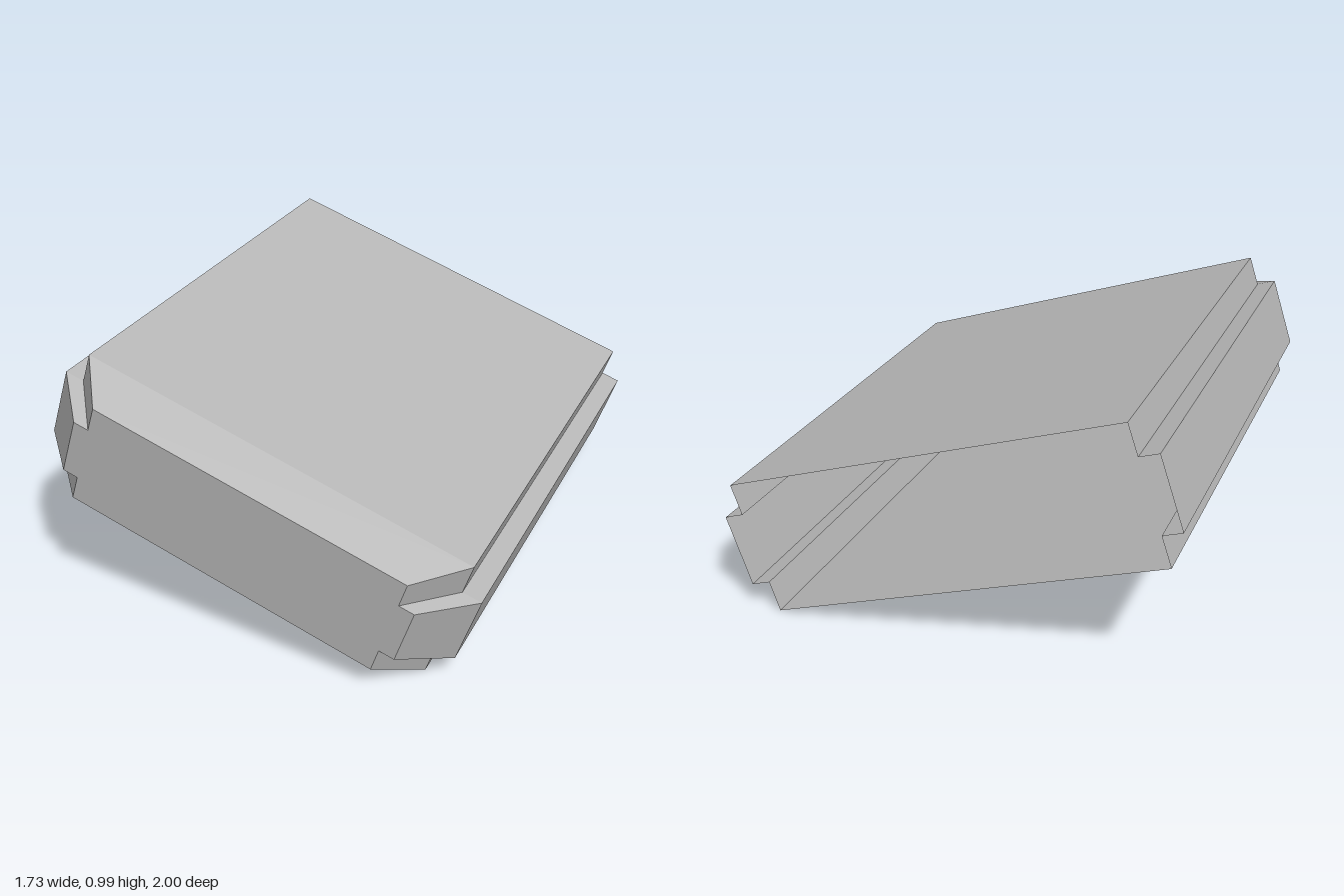
import * as THREE from 'three';

export function createModel() {
  const model = new THREE.Group();
  model.name = 'ridgedCasing';
  const grey = new THREE.MeshStandardMaterial({ color: 0xb8b8b8, side: THREE.DoubleSide, flatShading: true });
  grey.name = 'plain grey';

  // Half of the cross-section, counter-clockwise; the other half is its point reflection
  const half = [[0.788, -0.262], [0.788, -0.141], [0.864, -0.141], [0.864, 0.141], [0.788, 0.141], [0.788, 0.262]];
  const profile = [...half, ...half.map(([x, y]) => [-x, -y])];
  const frontScale = 0.8;

  // Open-ended sleeve between two scaled copies of the profile
  function sleeve(name, zBack, scaleBack, zFront, scaleFront) {
    const positions = [];
    profile.forEach(([x0, y0], i) => {
      const [x1, y1] = profile[(i + 1) % profile.length];
      const a = [x0 * scaleBack, y0 * scaleBack, zBack];
      const b = [x1 * scaleBack, y1 * scaleBack, zBack];
      const c = [x1 * scaleFront, y1 * scaleFront, zFront];
      const d = [x0 * scaleFront, y0 * scaleFront, zFront];
      positions.push(...a, ...b, ...c, ...a, ...c, ...d);
    });
    const geometry = new THREE.BufferGeometry();
    geometry.setAttribute('position', new THREE.Float32BufferAttribute(positions, 3));
    geometry.computeVertexNormals();
    add(name, geometry);
  }

  // Everything shares one tilted frame
  const tilted = new THREE.Group();
  tilted.name = 'tiltedCasing';
  tilted.rotation.z = -THREE.MathUtils.degToRad(18.2);
  tilted.position.y = 0.495;
  model.add(tilted);

  function add(name, geometry) {
    const mesh = new THREE.Mesh(geometry, grey);
    mesh.name = name;
    tilted.add(mesh);
  }

  // Hollow body, open at the back, with a tapered nose
  sleeve('bodyShell', -1, 1, 0.81, 1);
  sleeve('taperedNose', 0.81, 1, 1, frontScale);

  // Flat plate closing the front
  const outline = new THREE.Shape(profile.map(([x, y]) => new THREE.Vector2(x * frontScale, y * frontScale)));
  add('frontPlate', new THREE.ShapeGeometry(outline).translate(0, 0, 1));

  return model;
}
